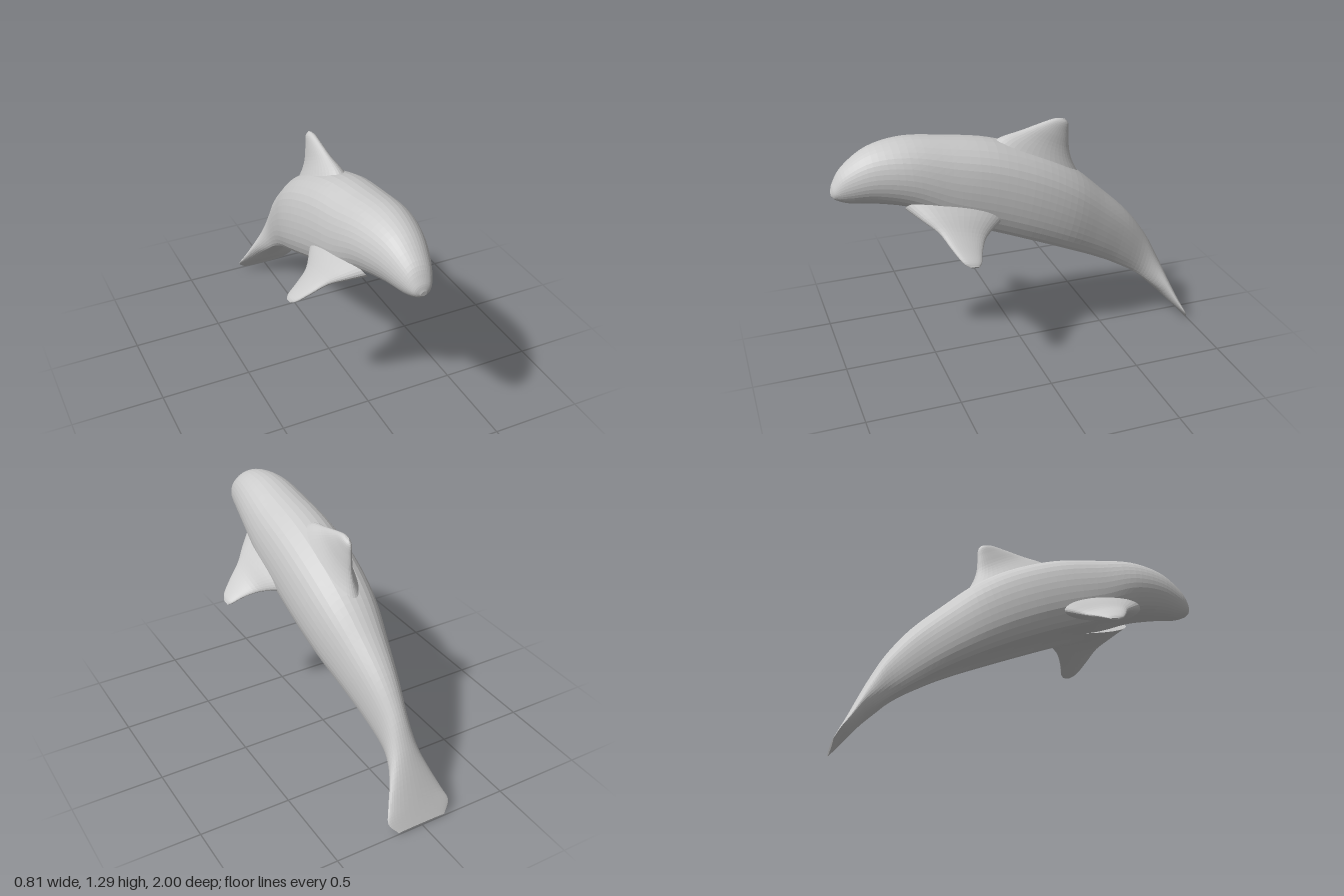
import * as THREE from 'three';

const material = new THREE.MeshStandardMaterial({ color: 0xcccccc, flatShading: true });
const V = (x, y, z) => new THREE.Vector3(x, y, z);
const AROUND = 40;

// Outlines as [sideways -1..1, height 0..1], walked from the bottom centre over the side to the top
function outline(half) {
  const other = half.slice(1, -1).reverse().map(([u, v]) => [-u, v]);
  const pts = [...half, ...other].map(([u, v]) => V(u, v, 0));
  const curve = new THREE.CatmullRomCurve3(pts, true, 'catmullrom', 0.5);
  return Array.from({ length: AROUND }, (_, j) => curve.getPoint(j / AROUND));
}
const oval = outline([[0, 0], [0.38, 0.04], [0.71, 0.15], [0.92, 0.31], [1, 0.5], [0.93, 0.69], [0.73, 0.85], [0.4, 0.96], [0, 1]]);
const flatBelly = outline([[0, 0.07], [0.4, 0.04], [0.73, 0], [0.94, 0.17], [1, 0.38], [0.96, 0.6], [0.81, 0.8], [0.47, 0.95], [0, 1]]);

// Skin through stations: a and b are opposite edges, half is the thickness along n,
// belly blends the oval outline into the flat-bellied one
function loft(name, stations, n, steps) {
  const smooth = (f) => new THREE.CatmullRomCurve3(stations.map(f), false, 'catmullrom', 0.5);
  const edgeA = smooth((s) => s.a);
  const edgeB = smooth((s) => s.b);
  const size = smooth((s) => V(s.half, s.belly || 0, 0));
  const rings = [];
  for (let i = 0; i <= steps; i++) {
    const t = i / steps;
    const a = edgeA.getPoint(t), b = edgeB.getPoint(t), k = size.getPoint(t);
    const belly = THREE.MathUtils.clamp(k.y, 0, 1);
    rings.push(oval.map((o, j) => {
      const p = o.clone().lerp(flatBelly[j], belly);
      return b.clone().lerp(a, p.y).addScaledVector(n, p.x * k.x);
    }));
  }
  // Close both ends on their centres
  const centre = (ring) => {
    const c = ring.reduce((sum, p) => sum.add(p), V(0, 0, 0)).divideScalar(AROUND);
    return ring.map(() => c);
  };
  rings.unshift(centre(rings[0]));
  rings.push(centre(rings[rings.length - 1]));

  const index = [];
  for (let i = 0; i < rings.length - 1; i++) {
    for (let j = 0; j < AROUND; j++) {
      const p = i * AROUND + j, q = i * AROUND + (j + 1) % AROUND;
      if (i < rings.length - 2) index.push(p, p + AROUND, q + AROUND);
      if (i > 0) index.push(p, q + AROUND, q);
    }
  }
  const geometry = new THREE.BufferGeometry().setFromPoints(rings.flat());
  geometry.setIndex(index);
  geometry.computeVertexNormals();
  const mesh = new THREE.Mesh(geometry, material);
  mesh.name = name;
  return mesh;
}

export function createModel() {
  const group = new THREE.Group();
  group.name = 'leapingWhale';

  // Body from nose to tail fluke: back z, y; belly z, y; half width; belly flatness
  const body = [
    [1.0, 1.055, 0.998, 1.03, 0.015, 0],
    [0.985, 1.1, 0.975, 1.01, 0.05, 0],
    [0.93, 1.18, 0.91, 0.985, 0.085, 0],
    [0.8, 1.265, 0.78, 0.967, 0.13, 0.05],
    [0.62, 1.295, 0.6, 0.925, 0.17, 0.35],
    [0.4, 1.27, 0.42, 0.845, 0.19, 0.8],
    [0.15, 1.225, 0.22, 0.78, 0.2, 1],
    [-0.1, 1.13, 0, 0.69, 0.2, 1],
    [-0.3, 1.01, -0.2, 0.6, 0.182, 1],
    [-0.47, 0.86, -0.4, 0.5, 0.14, 1],
    [-0.635, 0.7, -0.56, 0.405, 0.1, 1],
    [-0.755, 0.54, -0.69, 0.305, 0.075, 0.7],
    [-0.83, 0.4, -0.77, 0.23, 0.085, 0.3],
    [-0.885, 0.28, -0.85, 0.155, 0.12, 0],
    [-0.94, 0.15, -0.915, 0.085, 0.163, 0],
    [-0.972, 0.075, -0.96, 0.04, 0.183, 0],
    [-1.0, 0.012, -0.995, 0.0, 0.14, 0],
  ].map(([za, ya, zb, yb, half, belly]) => ({ a: V(0, ya, za), b: V(0, yb, zb), half, belly }));
  group.add(loft('bodyAndFluke', body, V(1, 0, 0), 80));

  // Dorsal fin: leading z, y; trailing z, y; half thickness
  const dorsal = [
    [0.2, 1.18, -0.42, 0.84, 0.13],
    [0.1, 1.228, -0.32, 1.0, 0.075],
    [0.0, 1.25, -0.282, 1.1, 0.045],
    [-0.1, 1.275, -0.275, 1.19, 0.03],
    [-0.18, 1.293, -0.273, 1.255, 0.02],
    [-0.22, 1.295, -0.255, 1.285, 0.006],
  ].map(([za, ya, zb, yb, half]) => ({ a: V(0, ya, za), b: V(0, yb, zb), half }));
  group.add(loft('dorsalFin', dorsal, V(1, 0, 0), 20));

  // Flippers: x; leading z, y; trailing z, y; half thickness
  const flipper = [
    [0.11, 0.65, 0.96, 0.06, 0.87, 0.085],
    [0.185, 0.58, 0.91, 0.17, 0.84, 0.055],
    [0.25, 0.515, 0.86, 0.265, 0.8, 0.033],
    [0.32, 0.475, 0.8, 0.31, 0.765, 0.022],
    [0.38, 0.435, 0.745, 0.335, 0.73, 0.014],
    [0.4, 0.4, 0.72, 0.355, 0.715, 0.006],
  ];
  for (const side of [1, -1]) {
    const stations = flipper.map(([x, za, ya, zb, yb, half]) => (
      { a: V(side * x, ya, za), b: V(side * x, yb, zb), half }));
    group.add(loft(side > 0 ? 'leftFlipper' : 'rightFlipper', stations, V(-0.6, -0.8 * side, 0), 20));
  }
  return group;
}
